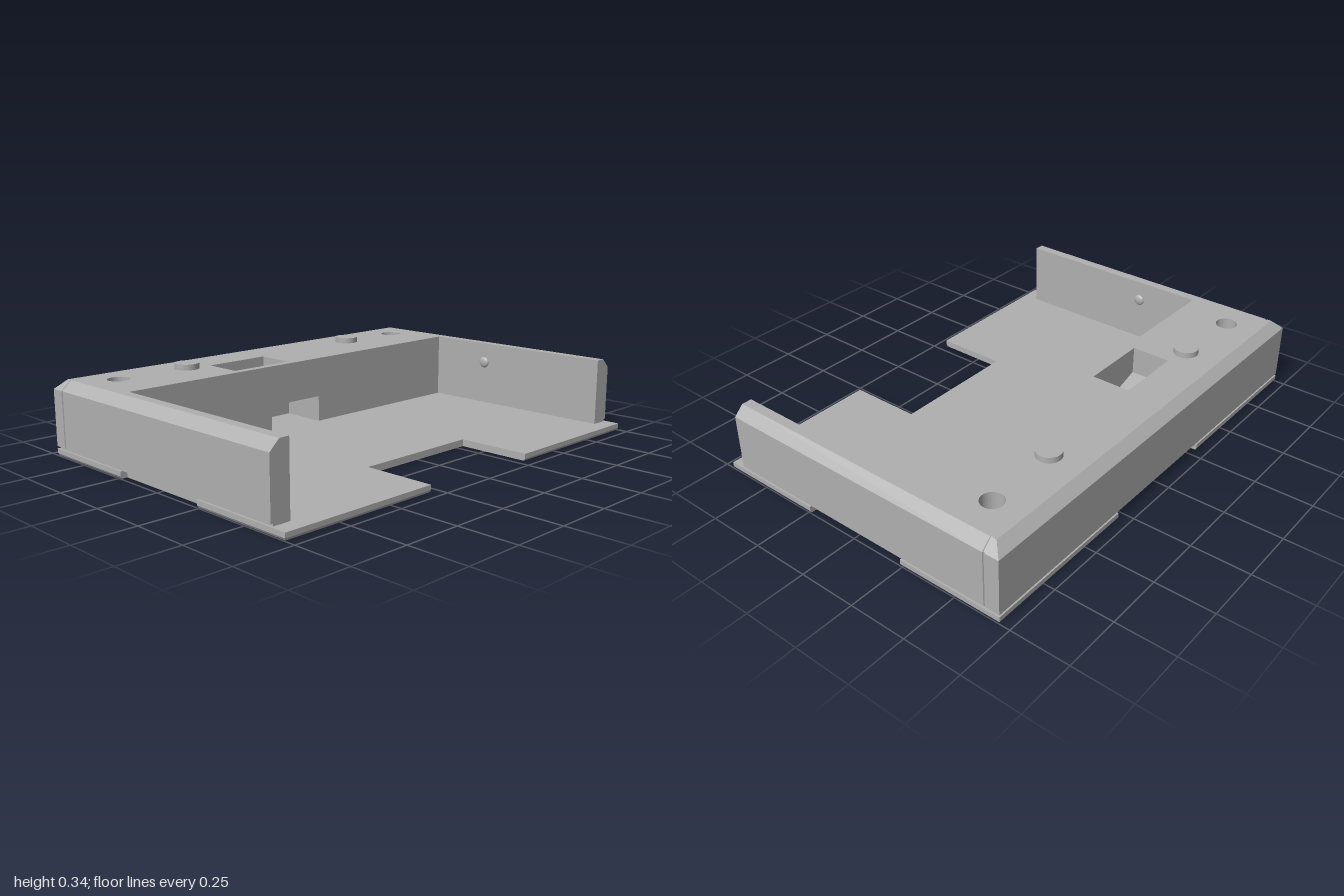
import * as THREE from 'three';
import { toCreasedNormals } from 'three/addons/utils/BufferGeometryUtils.js';

const BACK = -0.705, ARM_FRONT = 0.635, INNER_X = 0.915, BLOCK_FRONT = -0.285;

export function createModel() {
  const model = new THREE.Group();
  const grey = new THREE.MeshStandardMaterial({ color: 0xb0b0b0 });
  grey.name = 'grey';

  const add = (name, geometry, x = 0, y = 0, z = 0) => {
    const mesh = new THREE.Mesh(geometry, grey);
    mesh.name = name;
    mesh.position.set(x, y, z);
    model.add(mesh);
    return mesh;
  };

  const toPath = (points, PathType = THREE.Path) =>
    new PathType(points.map(([x, z]) => new THREE.Vector2(x, z)));
  const round = (x, z, r) => new THREE.Path().absarc(x, z, r, 0, Math.PI * 2, false);
  const screwHoles = (r) => [-1, 1].map((s) => round(s * 0.81, -0.52, r));

  // Horizontal layer from a plan outline (x, z); rule moves vertices for chamfers
  const layer = (name, outline, holes, y0, y1, rule) => {
    const shape = toPath(outline, THREE.Shape);
    shape.holes.push(...holes);
    const geometry = new THREE.ExtrudeGeometry(shape, { depth: y1 - y0, bevelEnabled: false, curveSegments: 32 });
    geometry.rotateX(Math.PI / 2).translate(0, y1, 0);
    if (rule) {
      const p = geometry.attributes.position, v = new THREE.Vector3();
      for (let i = 0; i < p.count; i++) {
        rule(v.fromBufferAttribute(p, i));
        p.setXYZ(i, v.x, v.y, v.z);
      }
    }
    geometry.deleteAttribute('normal');
    return add(name, toCreasedNormals(geometry, 0.5));
  };

  // Mirrors a half outline (front to back on +x) into a closed one
  const mirrored = (half) => [...half, ...half.map(([x, z]) => [-x, z]).reverse()];

  // Base plate with an open front cutout and shallow notches at the sides and back
  const notch = 0.03;
  const plateOutline = mirrored([
    [0.29, 0.385], [0.29, 0.705], [1, 0.705],
    [1, 0.24], [1 - notch, 0.24], [1 - notch, -0.24], [1, -0.24],
    [1, BACK], [0.29, BACK], [0.29, BACK + notch],
  ]);
  layer('basePlateLower', plateOutline, screwHoles(0.085), 0, 0.01, (v) => {
    if (v.y > 0.005) return;
    if (Math.abs(v.x) > 0.99) v.x -= Math.sign(v.x) * 0.006;
    if (Math.abs(v.z) > 0.7) v.z -= Math.sign(v.z) * 0.006;
  });
  layer('basePlateUpper', plateOutline, [...screwHoles(0.085), round(-0.155, -0.41, 0.035)], 0.01, 0.03);

  // U-shaped body: two side arms and a rear block
  const bodyOutline = (inset, channel) => {
    const X = 1 - inset, g = 0.005;
    const side = [[X, ARM_FRONT], [X, -0.635], [X - g, -0.637], [X - g, -0.643], [X, -0.645], [X, BACK + inset]];
    const front = channel
      ? [[-0.2, BLOCK_FRONT], [-0.2, -0.49], [0.08, -0.49], [0.08, BLOCK_FRONT]]
      : [];
    return [
      ...mirrored(side),
      [-INNER_X, ARM_FRONT], [-INNER_X, BLOCK_FRONT],
      ...front,
      [INNER_X, BLOCK_FRONT], [INNER_X, ARM_FRONT],
    ];
  };
  const pocket = () => toPath([[-0.37, -0.49], [-0.07, -0.49], [-0.07, -0.32], [-0.37, -0.32]]);

  layer('bodyFootGap', bodyOutline(0.01, true), screwHoles(0.085), 0.03, 0.04);
  layer('bodyLower', bodyOutline(0, true), screwHoles(0.085), 0.04, 0.145);
  layer('bodyMiddle', bodyOutline(0, false), [...screwHoles(0.047), pocket()], 0.145, 0.28);
  layer('bodyChamferedTop', bodyOutline(0, false), [...screwHoles(0.047), pocket()], 0.28, 0.32, (v) => {
    if (v.y < 0.3) return;
    if (Math.abs(v.x) > 0.99) v.x -= Math.sign(v.x) * 0.042;
    if (v.z < -0.7) v.z += 0.042;
  });

  // Sloped floor leading from the pocket into the channel
  const ramp = toPath([[-0.37, 0.145], [-0.195, 0.145], [-0.37, 0.2]], THREE.Shape);
  add('pocketRamp', new THREE.ExtrudeGeometry(ramp, { depth: 0.17, bevelEnabled: false }), 0, 0, -0.49);

  // Top pegs and the small bumps inside the arms
  for (const s of [-1, 1]) {
    const side = s > 0 ? 'left' : 'right';
    add(side + 'Peg', new THREE.CylinderGeometry(0.053, 0.053, 0.03, 32), s * 0.478, 0.33, -0.51);
    const bump = add(side + 'ArmBump', new THREE.SphereGeometry(0.026, 24, 16), s * INNER_X, 0.228, 0.005);
    bump.scale.x = 0.5;
  }

  return model;
}
